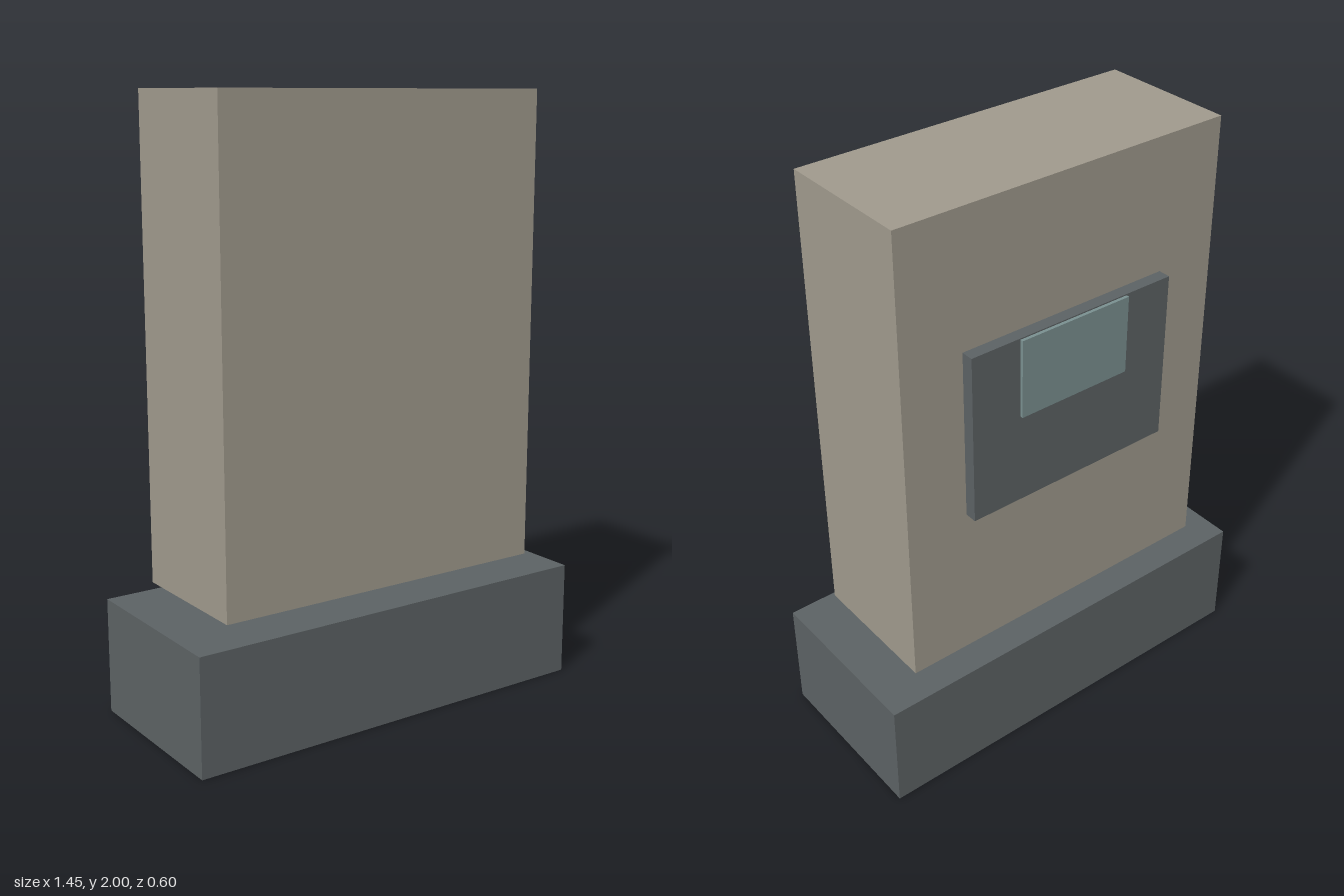
import * as THREE from 'three';

// Box given by its width and its y and z ranges, centred on x = 0
function block(name, color, width, [y0, y1], [z0, z1]) {
  const mesh = new THREE.Mesh(
    new THREE.BoxGeometry(width, y1 - y0, z1 - z0),
    new THREE.MeshStandardMaterial({ color })
  );
  mesh.position.set(0, (y0 + y1) / 2, (z0 + z1) / 2);
  mesh.name = name;
  return mesh;
}

export function createModel() {
  const group = new THREE.Group();
  group.name = 'slabOnPlinth';
  const stone = 0xa09a8d, slate = 0x5c6264, glass = 0x7a9090;

  group.add(
    // Plinth, with the slab held just above it
    block('base', slate, 1.449, [0, 0.386], [-0.301, 0.301]),
    block('slab', stone, 1.186, [0.436, 2], [-0.235, 0.237]),
    // Panel on the back, with a small raised plate near its top edge
    block('backPanel', slate, 0.756, [0.972, 1.55], [-0.277, -0.235]),
    block('backPlate', glass, 0.407, [1.281, 1.546], [-0.288, -0.272])
  );
  return group;
}
